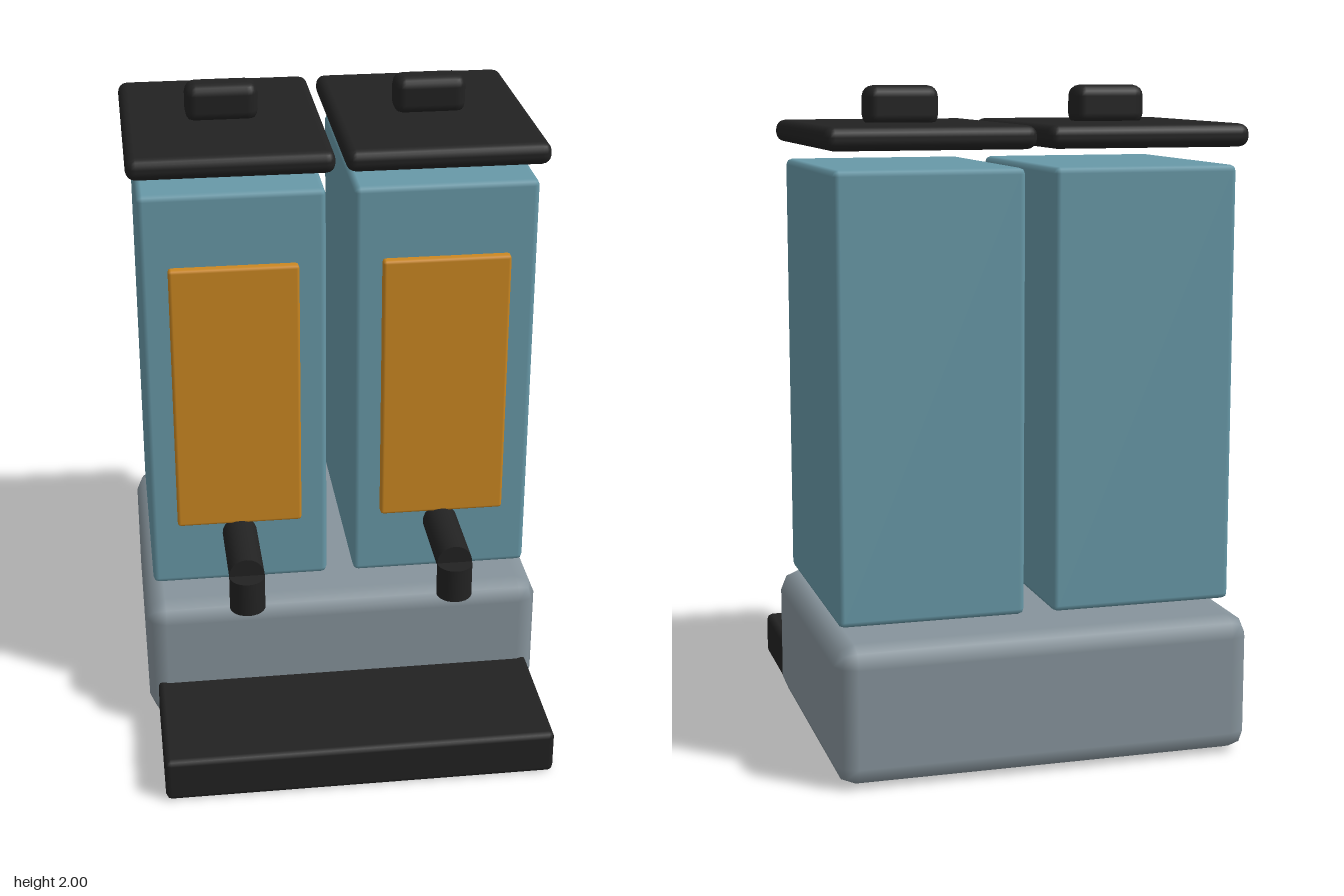
import * as THREE from 'three';
import { RoundedBoxGeometry } from 'three/addons/geometries/RoundedBoxGeometry.js';

const material = (name, color) => {
  const m = new THREE.MeshStandardMaterial({ color });
  m.name = name;
  return m;
};

export function createModel() {
  const teal = material('teal tank', 0x6899a8);
  const orange = material('orange label', 0xcc8822);
  const grey = material('grey base', 0x87949c);
  const black = material('black plastic', 0x222222);

  const model = new THREE.Group();
  model.name = 'twinDrinkDispenser';

  // Rounded box given by its limits on each axis
  function box(parent, name, mat, [x0, x1], [y0, y1], [z0, z1], radius, segments = 1) {
    const geo = new RoundedBoxGeometry(x1 - x0, y1 - y0, z1 - z0, segments, radius);
    const mesh = new THREE.Mesh(geo, mat);
    mesh.name = name;
    mesh.position.set((x0 + x1) / 2, (y0 + y1) / 2, (z0 + z1) / 2);
    parent.add(mesh);
  }

  // Base and drip tray
  box(model, 'base', grey, [-0.635, 0.635], [0.004, 0.424], [-0.708, 0.28], 0.062);
  box(model, 'dripTray', black, [-0.607, 0.607], [0, 0.143], [0.18, 0.708], 0.018);

  for (const side of [-1, 1]) {
    const unit = new THREE.Group();
    unit.name = side < 0 ? 'rightDispenser' : 'leftDispenser';
    unit.position.x = side * 0.324;
    model.add(unit);

    // Tank with front label
    box(unit, 'tank', teal, [-0.281, 0.281], [0.453, 1.77], [-0.59, 0.168], 0.018);
    box(unit, 'label', orange, [-0.197, 0.197], [0.672, 1.543], [0.14, 0.196], 0.01);

    // Lid floating above the tank, with its knob
    box(unit, 'lid', black, [-0.309, 0.309], [1.823, 1.891], [-0.622, 0.195], 0.03, 2);
    box(unit, 'lidKnob', black, [-0.112, 0.112], [1.88, 2], [-0.265, -0.157], 0.034, 2);

    // Tap: horizontal pipe and downward nozzle
    const pipe = new THREE.Mesh(new THREE.CylinderGeometry(0.055, 0.055, 0.29, 24), black);
    pipe.name = 'tapPipe';
    pipe.rotation.x = Math.PI / 2;
    pipe.position.set(0, 0.626, 0.295);
    const nozzle = new THREE.Mesh(new THREE.CylinderGeometry(0.055, 0.055, 0.11, 24), black);
    nozzle.name = 'tapNozzle';
    nozzle.position.set(0, 0.57, 0.441);
    unit.add(pipe, nozzle);
  }
  return model;
}
